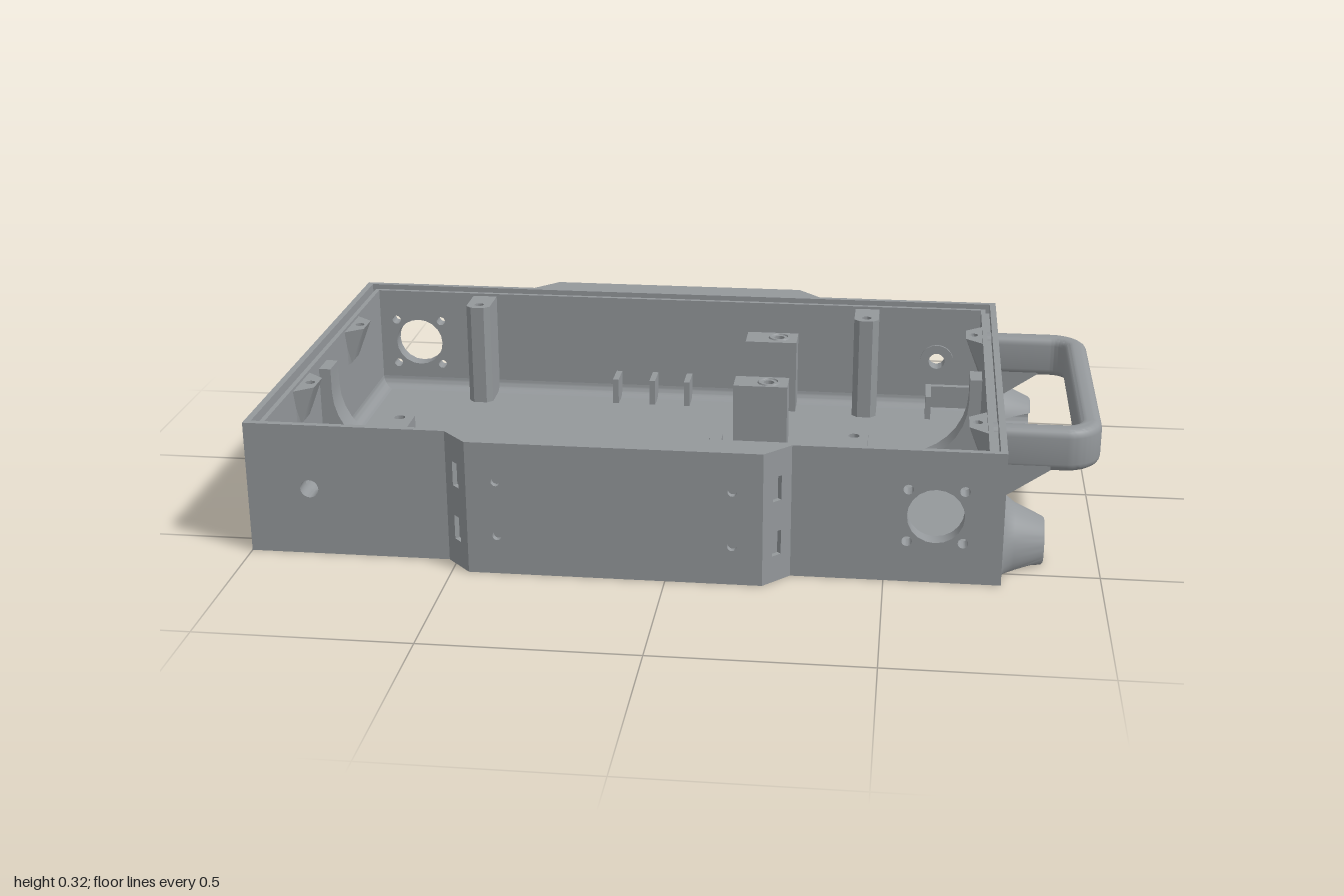
import * as THREE from 'three';
import { toCreasedNormals } from 'three/addons/utils/BufferGeometryUtils.js';

const mat = new THREE.MeshStandardMaterial({ color: 0x94989b, side: THREE.DoubleSide });
const FLOOR = 0.03, RIM = 0.325, SEAT = 0.3, END = 0.77;

const poly = (pts) => new THREE.Shape(pts.map(([x, y]) => new THREE.Vector2(x, y)));
const rect = (x0, x1, y0, y1) => poly([[x0, y0], [x1, y0], [x1, y1], [x0, y1]]);
const circle = (x, y, r) => new THREE.Path().absarc(x, y, r, 0, Math.PI * 2, true);

export function createModel() {
  const model = new THREE.Group();

  const add = (name, geo, parent = model) => {
    const m = new THREE.Mesh(toCreasedNormals(geo, 0.6), mat);
    m.name = name;
    parent.add(m);
    return m;
  };
  const extrude = (shape, holes, depth, opts = {}) => {
    shape.holes.push(...holes);
    return new THREE.ExtrudeGeometry(shape, { depth, bevelEnabled: false, curveSegments: 10, ...opts });
  };
  // Plan outline in (x, z), raised from y0 to y1; holes are [x, z, r]
  const planGeo = (pts, y0, y1, holes = []) =>
    extrude(poly(pts.map(([x, z]) => [x, -z])), holes.map(([x, z, r]) => circle(x, -z, r)), y1 - y0)
      .rotateX(-Math.PI / 2).translate(0, y0, 0);
  const plan = (name, pts, y0, y1, holes) => add(name, planGeo(pts, y0, y1, holes));
  const block = (name, x0, x1, y0, y1, z0, z1, holes) =>
    plan(name, [[x0, z0], [x1, z0], [x1, z1], [x0, z1]], y0, y1, holes);

  // Floor and end walls
  block('floor', -1, END, 0, FLOOR, -0.565, 0.565);
  block('endWallRight', -1, -0.96, FLOOR, SEAT, -0.565, 0.565);
  block('endWallLeft', 0.73, END, FLOOR, SEAT, -0.565, 0.565);

  // Long walls with a large socket hole, four screw holes and a small hole
  for (const [name, z, big, small] of [['frontWall', 0.525, 0.615, -0.85], ['backWall', -0.565, -0.85, 0.615]]) {
    const holes = [circle(big, 0.165, 0.066), circle(small, 0.165, 0.022)];
    for (const sx of [-1, 1]) for (const sy of [-1, 1])
      holes.push(circle(big + sx * 0.064, 0.165 + sy * 0.064, 0.012));
    add(name, extrude(rect(-0.96, 0.73, FLOOR, SEAT), holes, 0.04).translate(0, 0, z));
    // Flat ring around the small hole, inside the case
    add('holeRing', extrude(new THREE.Shape().absarc(small, 0.165, 0.046, 0, Math.PI * 2),
      [circle(small, 0.165, 0.022)], 0.006).translate(0, 0, z > 0 ? 0.519 : -0.525));
  }

  // Rim: two lips with a seal groove between them
  const lip = (name, inset, t, y1) => {
    const frame = (i) => rect(-1 + i, END - i, -0.565 + i, 0.565 - i);
    add(name, extrude(frame(inset), [frame(inset + t)], y1 - SEAT).rotateX(-Math.PI / 2).translate(0, SEAT, 0));
  };
  lip('outerRim', 0, 0.016, RIM);
  lip('innerRim', 0.028, 0.012, 0.315);

  // Concave fillets between floor and walls
  const concave = (r, n = 8) => {
    const pts = [[0, 0]];
    for (let i = 0; i <= n; i++) {
      const a = (i / n) * Math.PI / 2;
      pts.push([r - r * Math.sin(a), r - r * Math.cos(a)]);
    }
    return pts;
  };
  for (const [x, z, len, rot] of [[-0.96, 0, 1.05, 0], [0.73, 0, 1.05, Math.PI],
    [-0.115, 0.525, 1.69, Math.PI / 2], [-0.115, -0.525, 1.69, -Math.PI / 2]]) {
    const f = add('floorFillet', extrude(poly(concave(0.03)), [], len).translate(0, 0, -len / 2));
    f.position.set(x, FLOOR, z);
    f.rotation.y = rot;
  }

  // Side bulges: faceted panels with screw holes and slots over a solid core
  for (const side of [1, -1]) {
    const g = new THREE.Group();
    g.name = side > 0 ? 'frontBulge' : 'backBulge';
    g.rotation.y = side > 0 ? 0 : Math.PI;
    g.position.x = side > 0 ? 0 : -0.235;
    model.add(g);
    const screws = [];
    for (const x of [-0.39, 0.155]) for (const y of [0.095, 0.23]) screws.push(circle(x, y, 0.011));
    add('bulgePanel', extrude(rect(-0.46, 0.225, 0, RIM), screws, 0.015).translate(0, 0, 0.613), g);
    const len = Math.hypot(0.06, 0.063);
    for (const s of [-1, 1]) {
      const slots = [0.095, 0.23].map((y) => rect(-0.013, 0.013, y - 0.03, y + 0.03));
      const slant = add('slantedPanel', extrude(rect(-len / 2, len / 2, 0, RIM), slots, 0.012).translate(0, 0, -0.012), g);
      slant.position.set(-0.1175 + s * 0.3725, 0, 0.5965);
      slant.rotation.y = s * Math.atan2(0.063, 0.06);
    }
    add('bulgeCore', planGeo([[-0.495, 0.565], [-0.45, 0.612], [0.215, 0.612], [0.26, 0.565]], 0.01, 0.315), g);
    const cap = [[-0.52, 0.565], [-0.46, 0.628], [0.225, 0.628], [0.285, 0.565]];
    for (const y of [0, RIM - 0.015]) add('bulgeCap', planGeo(cap, y, y + 0.015), g);
  }

  // Tall screw pillars against the long walls
  for (const x of [-0.655, 0.42]) for (const s of [-1, 1]) {
    const a = 0.033, c = 0.015;
    plan('screwPillar', [[x - a, s * 0.53], [x - a, s * (0.415 + c)], [x - a + c, s * 0.415],
      [x + a - c, s * 0.415], [x + a, s * (0.415 + c)], [x + a, s * 0.53]], FLOOR, 0.308, [[x, s * 0.445, 0.013]]);
  }

  // Small lid bosses high on the end walls, tapering back to the wall below
  for (const [x, d, z] of [[-0.965, 1, -0.235], [-0.965, 1, 0.23], [0.735, -1, -0.33], [0.735, -1, 0.325]]) {
    const geo = planGeo([[x, z - 0.075], [x + d * 0.048, z - 0.035], [x + d * 0.048, z + 0.035], [x, z + 0.075]],
      0.21, 0.308, [[x + d * 0.028, z, 0.012]]);
    const p = geo.attributes.position;
    for (let i = 0; i < p.count; i++) if (p.getY(i) < 0.25) p.setX(i, x + (p.getX(i) - x) * 0.2);
    add('lidBoss', geo);
  }

  // Curved wall brackets with a drilled foot
  for (const [x, z, rot] of [[-0.96, 0.045, 0], [0.725, -0.055, Math.PI]]) {
    const arc = concave(0.17).slice(1).map(([u, v]) => [u + 0.03, v + 0.03]);
    const g = new THREE.Group();
    g.name = 'curvedBracket';
    g.position.set(x, FLOOR, z);
    g.rotation.y = rot;
    model.add(g);
    add('bracketArm', extrude(poly([[0, 0], [0.2, 0], ...arc, [0.03, 0.26], [0, 0.26]]), [], 0.07)
      .translate(0, 0, -0.035), g);
    add('bracketFoot', extrude(rect(0.2, 0.26, -0.035, 0.035), [circle(0.24, 0, 0.012)], 0.05)
      .rotateX(-Math.PI / 2), g);
  }

  // Drilled mounting blocks with a raised collar
  for (const [z0, z1, zc] of [[-0.525, -0.44, -0.485], [-0.155, -0.08, -0.115]]) {
    block('mountBlock', 0.09, 0.23, FLOOR, 0.23, z0, z1, [[0.18, zc, 0.014]]);
    add('collar', new THREE.TorusGeometry(0.026, 0.004, 6, 20).rotateX(Math.PI / 2).translate(0.18, 0.23, zc));
  }

  // Hollow standoffs
  for (const x of [-0.03, 0.23]) for (const z of [0.115, 0.46]) {
    const pts = [[0.022, 0], [0.02, 0.055], [0.01, 0.055], [0.01, 0]].map(([r, y]) => new THREE.Vector2(r, y));
    add('standoff', new THREE.LatheGeometry(pts, 16).translate(x, FLOOR, z));
  }

  // Ribs, corner holder, front plate and cable hook
  for (const x of [-0.275, -0.172, -0.075]) block('rib', x - 0.008, x + 0.008, FLOOR, 0.1, -0.53, -0.45);
  block('cornerRib', 0.588, 0.603, FLOOR, 0.095, -0.53, -0.42);
  block('cornerPlate', 0.603, 0.715, FLOOR, 0.095, -0.53, -0.508);
  block('frontPlate', -0.54, -0.2, FLOOR, 0.19, 0.485, 0.505);
  plan('frontPlateFoot', [[-0.555, 0.505], [-0.53, 0.455], [-0.21, 0.455], [-0.185, 0.505]], FLOOR, 0.055);
  plan('cableHook', [[0.03, -0.07], [0.065, -0.07], [0.065, 0], [0.1, 0.015], [0.225, 0.015],
    [0.225, 0.045], [0.08, 0.045], [0.04, 0.02]], FLOOR, 0.1);

  // Carrying handle: rounded U in plan with softened edges
  const b = 0.02, u = new THREE.Shape();
  u.moveTo(0.74, -0.366 + b);
  u.lineTo(0.91, -0.366 + b);
  u.absarc(0.91, -0.276, 0.07, -Math.PI / 2, 0, false);
  u.absarc(0.91, 0.276, 0.07, 0, Math.PI / 2, false);
  u.lineTo(0.74, 0.366 - b);
  u.lineTo(0.74, 0.331);
  u.lineTo(0.91, 0.331);
  u.absarc(0.91, 0.276, 0.055, Math.PI / 2, 0, true);
  u.absarc(0.91, -0.276, 0.055, 0, -Math.PI / 2, true);
  u.lineTo(0.74, -0.331);
  add('handle', extrude(u, [], 0.105 - 2 * b, { bevelEnabled: true, bevelSize: b, bevelThickness: b, bevelSegments: 4 })
    .rotateX(-Math.PI / 2).translate(0, 0.205 + b, 0));
  for (const s of [-1, 1])
    add('handleGusset', extrude(poly([[0.76, 0.13], [0.785, 0.145], [0.88, 0.21], [0.88, 0.25], [0.76, 0.3]]), [], 0.05)
      .translate(0, 0, s * 0.34 - 0.025));

  // Flared feet: cones flat at the base, with a slot opening inwards
  const N = 40, half = 0.03, cy = 0.05, cz = 0.41;
  const stations = [[0.765, 0.125, 0], [0.778, 0.105, 0], [0.8, 0.088, 0], [0.865, 0.058, 0], [0.87, 0.053, 0],
    [0.87, 0.053, 1], [0.765, 0.125, 1]];
  for (const s of [1, -1]) {
    const pos = [], idx = [], K = stations.length;
    for (let i = 0; i <= N; i++)
      for (const [x, R, inner] of stations) {
        const a0 = Math.asin(half / R), a = a0 + (i / N) * (Math.PI * 2 - 2 * a0);
        const r = !inner ? R : Math.cos(a) > 0 ? half / Math.abs(Math.sin(a)) : half;
        pos.push(x, Math.max(0, cy + r * Math.sin(a)), s * (cz - r * Math.cos(a)));
      }
    for (let i = 0; i < N; i++)
      for (let k = 0; k < K - 1; k++) {
        const p = i * K + k, q = p + K;
        if (s > 0) idx.push(p, p + 1, q, q, p + 1, q + 1);
        else idx.push(p, q, p + 1, q, q + 1, p + 1);
      }
    const geo = new THREE.BufferGeometry();
    geo.setAttribute('position', new THREE.Float32BufferAttribute(pos, 3));
    geo.setIndex(idx);
    add(s > 0 ? 'frontFoot' : 'backFoot', geo);
  }
  return model;
}
